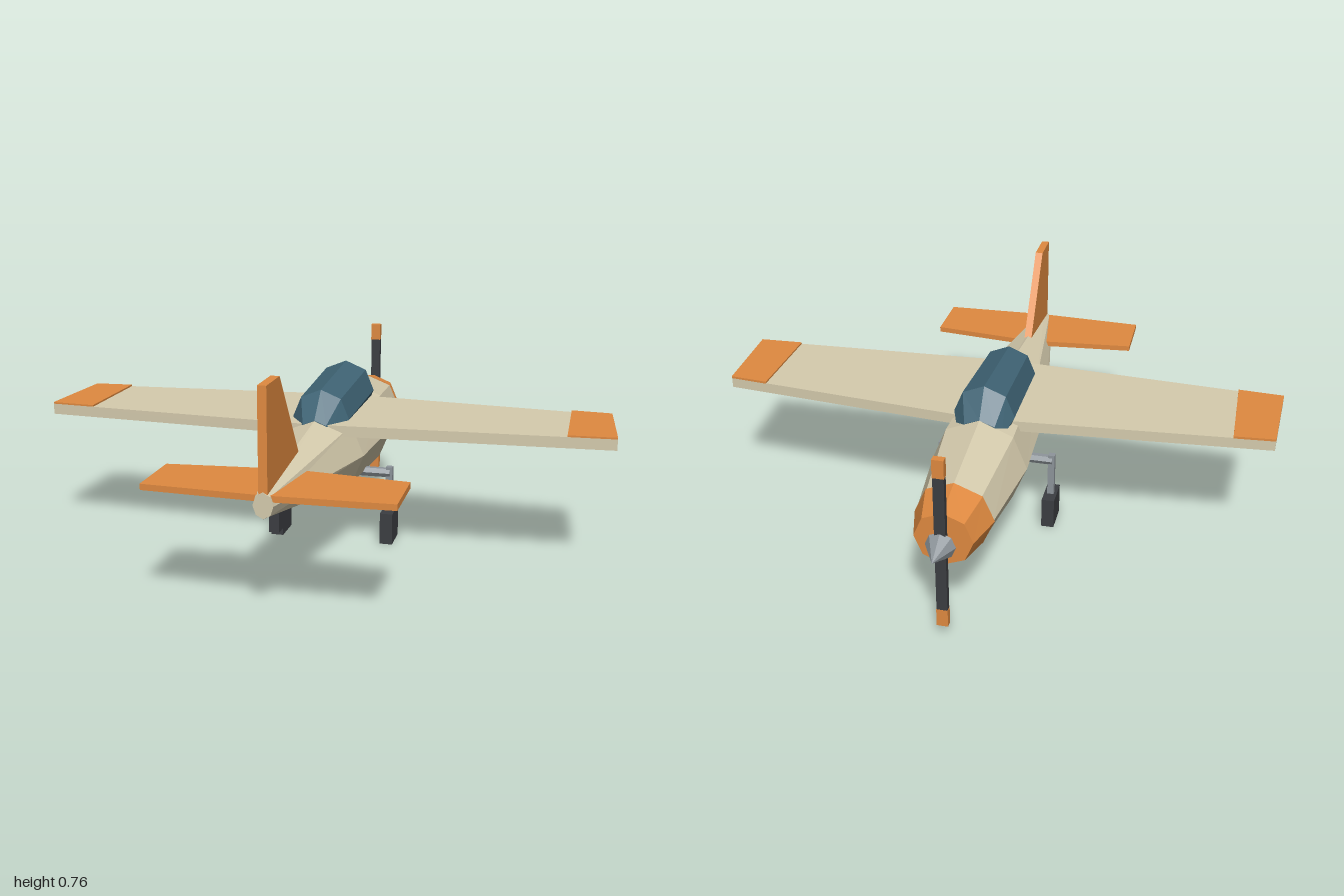
import * as THREE from 'three';

const mat = (color) => new THREE.MeshStandardMaterial({ color, flatShading: true });

// Loft of octagonal sections [z, centreY, radiusX, radiusY], listed from tail to nose
function loft(stations, sides = 8) {
  const pos = [], idx = [];
  for (const [z, cy, rx, ry] of stations) {
    for (let i = 0; i < sides; i++) {
      const a = (i / sides) * Math.PI * 2;
      pos.push(Math.cos(a) * rx, cy + Math.sin(a) * ry, z);
    }
  }
  for (let s = 0; s < stations.length - 1; s++) {
    for (let i = 0; i < sides; i++) {
      const j = (i + 1) % sides, a = s * sides, b = a + sides;
      idx.push(a + i, b + i, b + j, a + i, b + j, a + j);
    }
  }
  const last = (stations.length - 1) * sides;
  for (let i = 1; i < sides - 1; i++) {
    idx.push(0, i, i + 1, last, last + i + 1, last + i);
  }
  const g = new THREE.BufferGeometry();
  g.setAttribute('position', new THREE.Float32BufferAttribute(pos, 3));
  g.setIndex(idx);
  const flat = g.toNonIndexed();
  flat.computeVertexNormals();
  return flat;
}

const extrude = (pts, depth) => new THREE.ExtrudeGeometry(
  new THREE.Shape(pts.map(([x, y]) => new THREE.Vector2(x, y))), { depth, bevelEnabled: false });

// Horizontal slab from an outline in (x, z)
const slab = (pts, top, thick) => extrude(pts, thick).rotateX(Math.PI / 2).translate(0, top, 0);

// Close a half outline by mirroring it across x = 0
const mirrored = (half) => [...half, ...half.map(([x, z]) => [-x, z]).reverse()];

export function createModel() {
  const model = new THREE.Group();
  const cream = mat(0xd6ccae), orange = mat(0xe08a40), glass = mat(0x3f6475);
  const dark = mat(0x3c3e42), metal = mat(0x8e959b);

  const add = (name, geo, material, x = 0, y = 0, z = 0, parent = model) => {
    const m = new THREE.Mesh(geo, material);
    m.name = name;
    m.position.set(x, y, z);
    parent.add(m);
    return m;
  };
  const box = (w, h, d) => new THREE.BoxGeometry(w, h, d);

  // Body
  add('fuselage', loft([
    [0.85, 0.405, 0.032, 0.041], [0.17, 0.372, 0.152, 0.15],
    [-0.27, 0.364, 0.167, 0.168], [-0.6, 0.362, 0.128, 0.122]]), cream);
  add('engineCowl', loft([
    [-0.595, 0.362, 0.133, 0.125], [-0.727, 0.362, 0.097, 0.096]]), orange);
  add('canopy', loft([
    [0.265, 0.457, 0.058, 0.056], [0.175, 0.5, 0.1, 0.1],
    [-0.2, 0.52, 0.107, 0.107], [-0.27, 0.465, 0.075, 0.067]]), glass);

  // Wing with coloured tip panels on its upper face
  add('wing', slab(mirrored([[0, -0.198], [0.98, -0.115], [1, 0.205], [0, 0.262]]), 0.498, 0.038), cream);
  for (const s of [1, -1]) {
    const tip = [[0.84, -0.127], [0.98, -0.115], [1, 0.205], [0.84, 0.214]];
    add(s > 0 ? 'leftWingTip' : 'rightWingTip',
      slab(tip.map(([x, z]) => [s * x, z]), 0.504, 0.008), orange);
  }

  // Tail surfaces
  add('tailplane', slab(mirrored([[0, 0.577], [0.395, 0.617], [0.395, 0.829], [0, 0.845]]), 0.436, 0.02), orange);
  add('tailFin', extrude([[0.848, 0.43], [0.842, 0.764], [0.71, 0.764], [0.515, 0.478], [0.515, 0.43]], 0.028)
    .rotateY(-Math.PI / 2).translate(0.014, 0, 0), orange);

  // Propeller and spinner
  const propeller = new THREE.Group();
  propeller.name = 'propeller';
  propeller.position.set(0, 0.36, -0.753);
  model.add(propeller);
  add('blades', box(0.036, 0.5, 0.022), dark, 0, 0, 0, propeller);
  for (const s of [1, -1]) {
    add('bladeTip', box(0.038, 0.064, 0.024), orange, 0, s * 0.28, 0, propeller);
  }
  add('spinner', new THREE.ConeGeometry(0.05, 0.094, 8).rotateX(-Math.PI / 2), metal, 0, 0, -0.053, propeller);

  // Landing gear
  for (const s of [1, -1]) {
    const gear = new THREE.Group();
    gear.name = s > 0 ? 'leftGear' : 'rightGear';
    model.add(gear);
    const strut = new THREE.CylinderGeometry(0.018, 0.018, 0.15, 6).rotateZ(Math.PI / 2);
    add('strut', strut, metal, s * 0.135, 0.257, -0.021, gear);
    add('leg', box(0.024, 0.18, 0.022), metal, s * 0.207, 0.19, -0.021, gear);
    add('wheel', box(0.046, 0.116, 0.114), dark, s * 0.207, 0.058, -0.021, gear);
  }
  add('tailWheel', box(0.032, 0.065, 0.066), dark, 0, 0.317, 0.71);

  return model;
}
